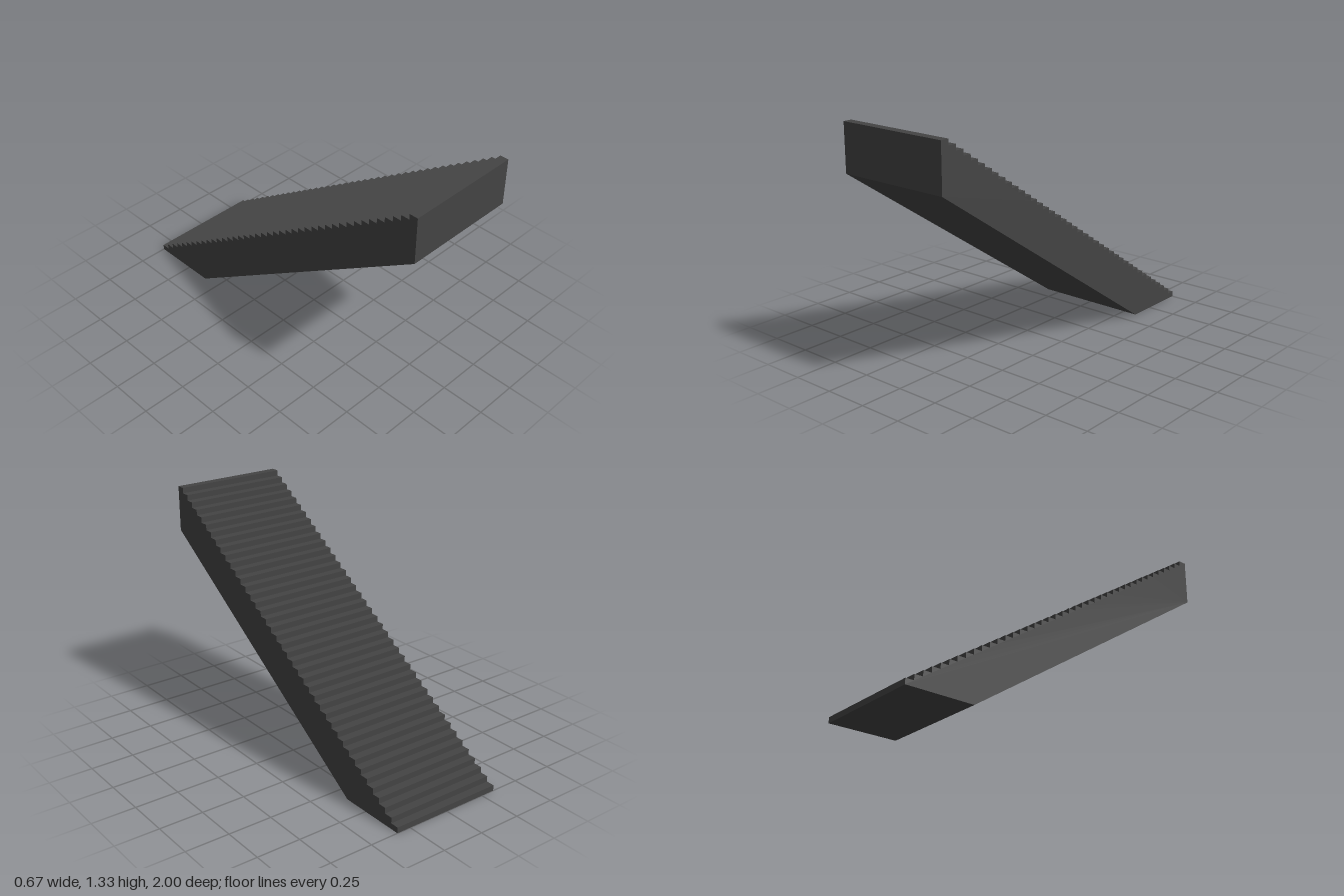
import * as THREE from 'three';

const STEPS = 41, LENGTH = 2, HEIGHT = 1.333, WIDTH = 0.667;

export function createModel() {
  const group = new THREE.Group();
  group.name = 'staircase';
  const tread = LENGTH / STEPS, rise = HEIGHT / STEPS;

  // Side profile (x = depth, y = height): flat foot, sloping underside, stepped top
  const profile = new THREE.Shape();
  profile.moveTo(-1, 0);
  profile.lineTo(-0.6, 0);
  profile.lineTo(1, 1.067);
  profile.lineTo(1, HEIGHT);
  for (let i = STEPS - 1; i >= 0; i--) {
    profile.lineTo(-1 + i * tread, (i + 1) * rise);
    if (i > 0) profile.lineTo(-1 + i * tread, i * rise);
  }
  profile.closePath();

  // Solid flight, turned so that it climbs towards +z
  const geometry = new THREE.ExtrudeGeometry(profile, { depth: WIDTH, bevelEnabled: false });
  geometry.translate(0, 0, -WIDTH / 2);
  geometry.rotateY(-Math.PI / 2);
  const flight = new THREE.Mesh(geometry, new THREE.MeshStandardMaterial({ color: 0x444444 }));
  flight.name = 'stairFlight';
  group.add(flight);
  return group;
}
